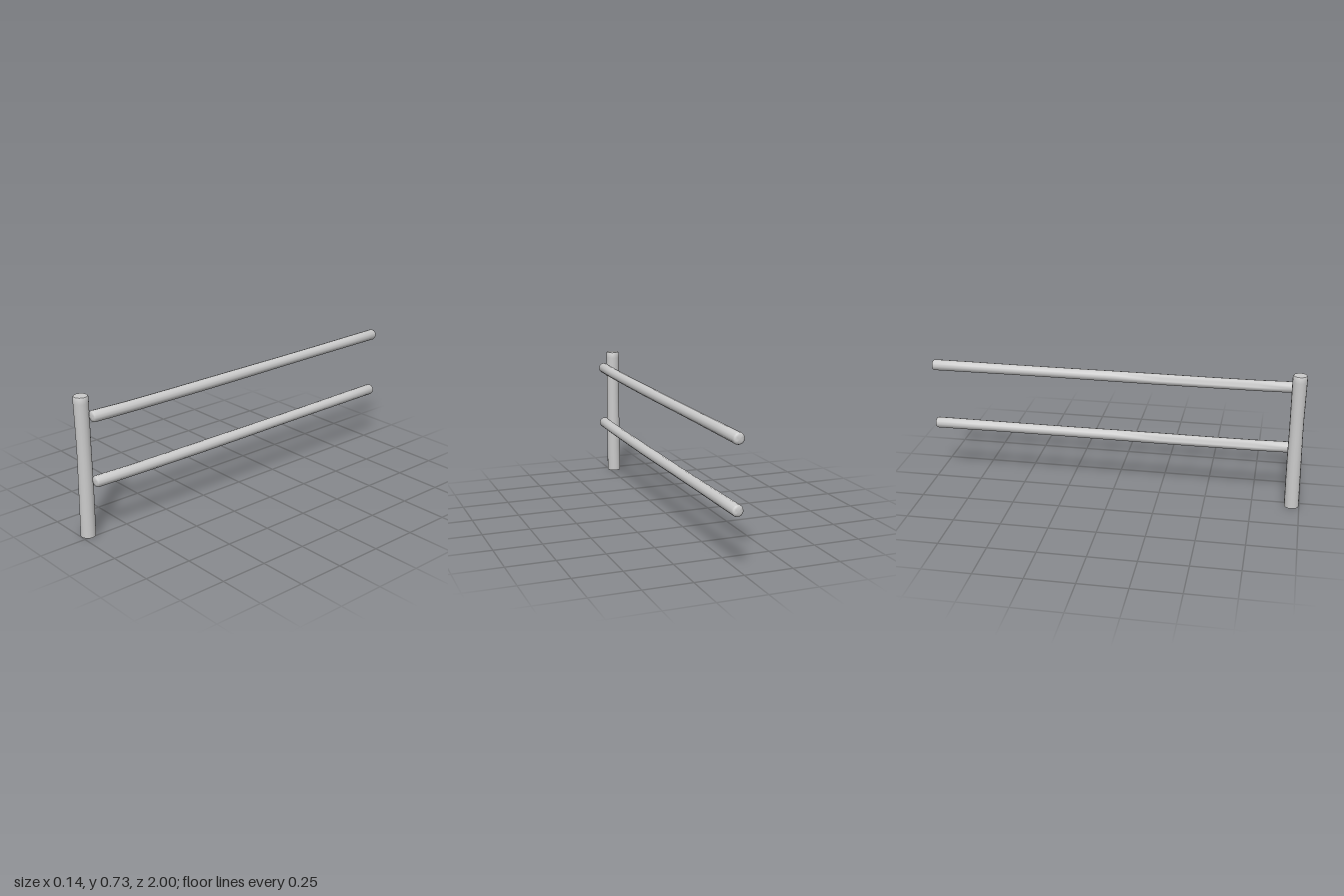
import * as THREE from 'three';
import { toCreasedNormals } from 'three/addons/utils/BufferGeometryUtils.js';

const material = new THREE.MeshStandardMaterial({ color: 0xcccccc, side: THREE.DoubleSide });

// Round timber along +y: a lathed profile of [radius, height] pairs,
// then bent sideways by bend(height) -> [dx, dz].
function log(name, profile, sides, crease, bend) {
  const points = profile.map(([r, h]) => new THREE.Vector2(r, h));
  const geometry = new THREE.LatheGeometry(points, sides);
  const p = geometry.attributes.position;
  for (let i = 0; i < p.count; i++) {
    const [dx, dz] = bend(p.getY(i));
    p.setXYZ(i, p.getX(i) + dx, p.getY(i), p.getZ(i) + dz);
  }
  const mesh = new THREE.Mesh(toCreasedNormals(geometry, crease), material);
  mesh.name = name;
  return mesh;
}

export function createModel() {
  const group = new THREE.Group();
  group.name = 'railFence';

  // Upright post, open underneath, with a softened flat top
  const post = log('post', [
    [0.0385, 0], [0.038, 0.15], [0.0375, 0.3], [0.036, 0.42], [0.036, 0.5],
    [0.037, 0.6], [0.038, 0.7], [0.038, 0.727], [0.0345, 0.733], [0, 0.733],
  ], 16, 0.7, (h) => {
    const s = Math.sin(Math.PI * h / 0.733);
    return [0.002 * s, -0.002 * s];
  });
  post.position.set(-0.0295, 0, 0.96);
  group.add(post);

  // Two horizontal rails with slightly domed ends and a gentle sag
  const length = 1.95;
  const rail = [
    [0, 0], [0.016, 0.001], [0.026, 0.005], [0.0295, 0.014], [0.029, 0.2],
    [0.029, 0.45], [0.0295, 0.7], [0.029, 0.95], [0.028, 1.2], [0.028, 1.5],
    [0.029, 1.75], [0.0295, 1.936], [0.026, 1.945], [0.016, 1.949], [0, length],
  ];
  [['upperRail', 0.645], ['lowerRail', 0.309]].forEach(([name, y]) => {
    const mesh = log(name, rail, 12, 1.2, (h) => {
      const t = h / length;
      return [0.003 * Math.sin(Math.PI * t) + 0.002 * (1 - t),
        0.006 * Math.sin(Math.PI * Math.sqrt(t)) * (1 - 0.4 * t)];
    });
    mesh.rotation.x = -Math.PI / 2; // lay along -z
    mesh.scale.z = -1; // turn the bend downwards
    mesh.geometry.scale(1, 1, 1);
    mesh.position.set(0.034, y, 0.95);
    group.add(mesh);
  });
  return group;
}
